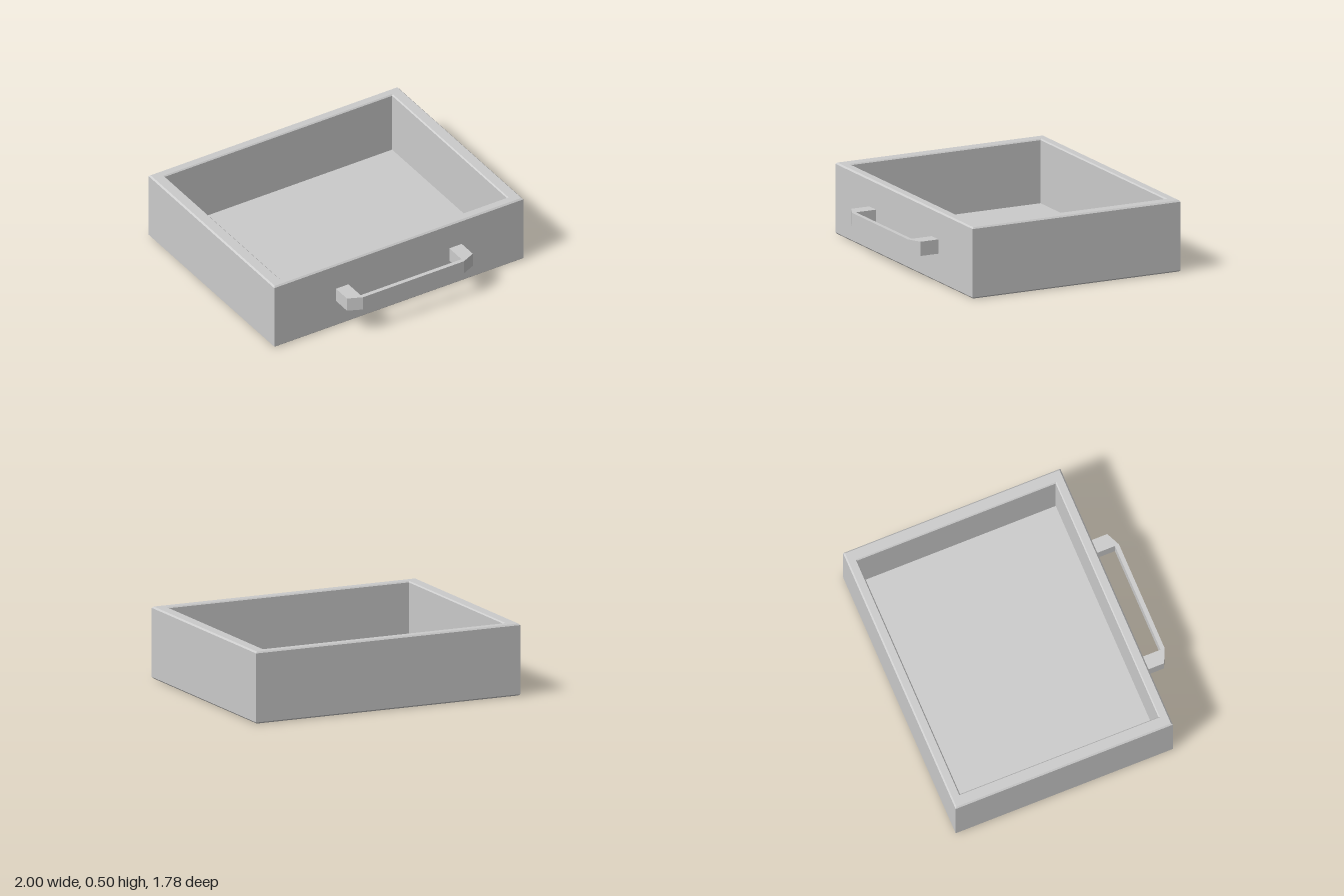
import * as THREE from 'three';

const material = new THREE.MeshStandardMaterial({ color: 0xcccccc, flatShading: true });

// Open tray skinned over rectangular rings [half width, back z, front z, y]
function trayGeometry(rings) {
  const positions = [];
  const loops = rings.map(([w, back, front, y]) => [
    [-w, y, front], [w, y, front], [w, y, back], [-w, y, back],
  ]);
  const quad = (a, b, c, d) => positions.push(...a, ...b, ...c, ...a, ...c, ...d);
  for (let i = 0; i < loops.length - 1; i++) {
    const low = loops[i], high = loops[i + 1];
    for (let j = 0; j < 4; j++) {
      const k = (j + 1) % 4;
      quad(low[j], low[k], high[k], high[j]);
    }
  }
  const underside = loops[0], floor = loops[loops.length - 1];
  quad(underside[3], underside[2], underside[1], underside[0]);
  quad(...floor);
  const geometry = new THREE.BufferGeometry();
  geometry.setAttribute('position', new THREE.Float32BufferAttribute(positions, 3));
  geometry.computeVertexNormals();
  return geometry;
}

// Bracket outline in plan, extruded upwards
function handleGeometry() {
  const right = [[0.405, 0.7], [0.505, 0.7], [0.505, 0.845], [0.405, 0.89]];
  const inner = [0.405, 0.86];
  const mirror = ([x, z]) => [-x, z];
  const outline = [...right, ...right.map(mirror).reverse(), mirror(inner), inner];
  const shape = new THREE.Shape(outline.map(([x, z]) => new THREE.Vector2(x, -z)));
  const geometry = new THREE.ExtrudeGeometry(shape, { depth: 0.1, bevelEnabled: false });
  return geometry.rotateX(-Math.PI / 2).translate(0, 0.205, 0);
}

export function createModel() {
  const model = new THREE.Group();
  model.name = 'drawer';

  // Chamfered outer walls, rim, inner walls and floor
  const tray = new THREE.Mesh(trayGeometry([
    [0.99, -0.88, 0.695, 0],
    [1, -0.89, 0.705, 0.01],
    [1, -0.89, 0.705, 0.49],
    [0.99, -0.88, 0.695, 0.5],
    [0.92, -0.83, 0.643, 0.5],
    [0.912, -0.822, 0.635, 0.492],
    [0.912, -0.822, 0.635, 0.05],
  ]), material);
  tray.name = 'tray';

  const handle = new THREE.Mesh(handleGeometry(), material);
  handle.name = 'handle';

  model.add(tray, handle);
  return model;
}
